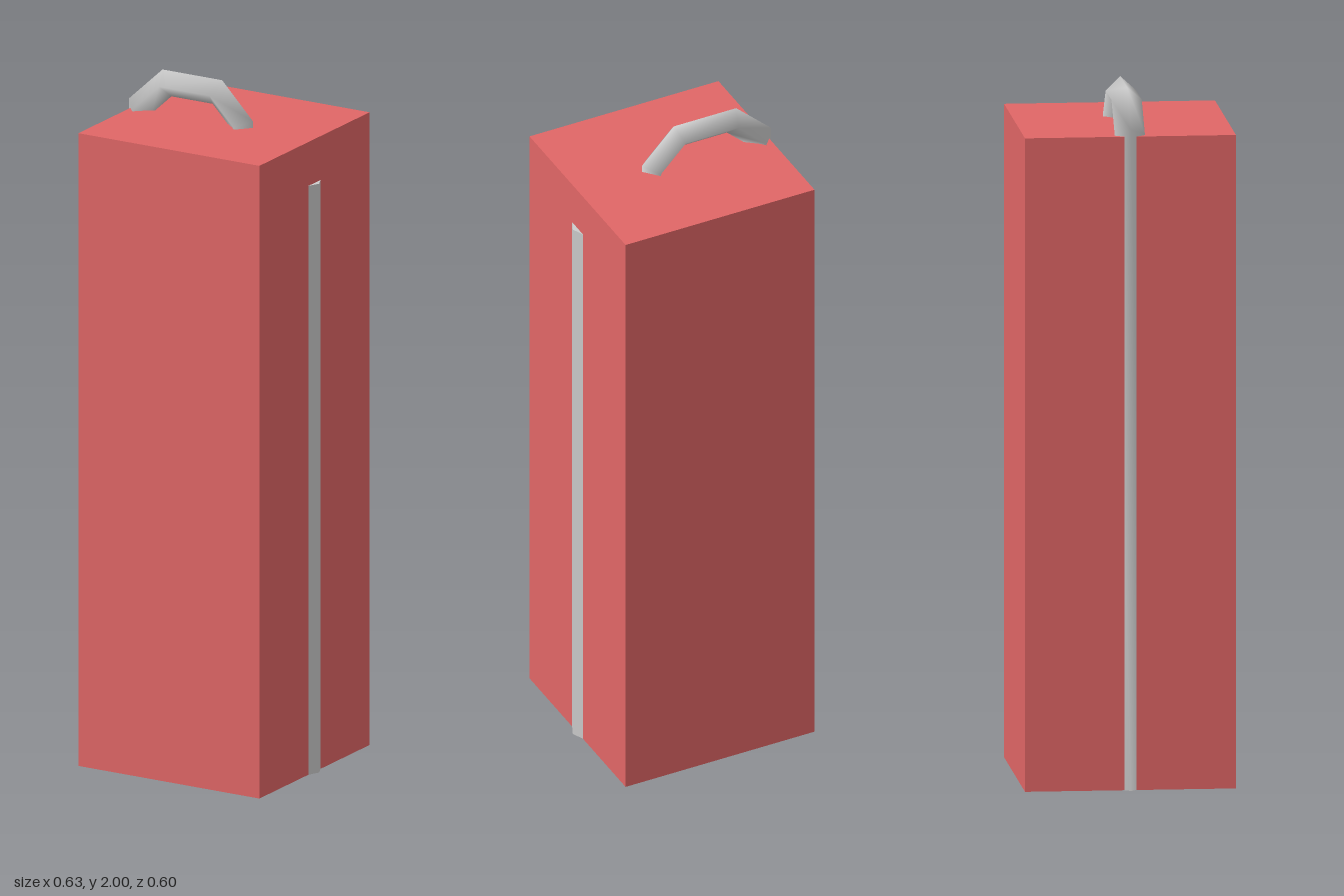
import * as THREE from 'three';

// Sweeps a diamond section along a path in the xy plane, with mitred bends.
function diamondTube(path, half, halfZ) {
  const points = path.map(([x, y]) => new THREE.Vector2(x, y));
  const positions = [];
  const indices = [];
  const normalOf = (a, b) => {
    const d = b.clone().sub(a).normalize();
    return new THREE.Vector2(-d.y, d.x);
  };
  points.forEach((p, i) => {
    const before = normalOf(points[Math.max(i - 1, 0)], points[Math.max(i, 1)]);
    const last = points.length - 1;
    const after = normalOf(points[Math.min(i, last - 1)], points[Math.min(i + 1, last)]);
    const n = before.clone().add(after).normalize();
    n.multiplyScalar(half / n.dot(before));
    positions.push(p.x + n.x, p.y + n.y, 0, p.x, p.y, halfZ);
    positions.push(p.x - n.x, p.y - n.y, 0, p.x, p.y, -halfZ);
    if (i === last) return;
    for (let k = 0; k < 4; k++) {
      const a = i * 4 + k;
      const b = i * 4 + (k + 1) % 4;
      indices.push(a, b, a + 4, b, b + 4, a + 4);
    }
  });
  const geometry = new THREE.BufferGeometry();
  geometry.setAttribute('position', new THREE.Float32BufferAttribute(positions, 3));
  geometry.setIndex(indices);
  geometry.computeVertexNormals();
  return geometry;
}

export function createModel() {
  const group = new THREE.Group();
  const red = new THREE.MeshStandardMaterial({ color: 0xe06666 });
  const grey = new THREE.MeshStandardMaterial({ color: 0xcccccc, side: THREE.DoubleSide });

  const add = (name, geometry, material) => {
    const mesh = new THREE.Mesh(geometry, material);
    mesh.name = name;
    group.add(mesh);
    return mesh;
  };

  // Tall square block
  const height = 1.875;
  add('block', new THREE.BoxGeometry(0.6, height, 0.6), red).position.y = height / 2;

  // Rod that runs up the right side, arches over the top and enters the block
  const rodPath = [
    [-0.2775, 0], [-0.2775, 1.88], [-0.189, 1.9625],
    [-0.022, 1.9625], [0.058, 1.88], [0.058, 1.7],
  ];
  add('handleRod', diamondTube(rodPath, 0.0375, 0.043), grey);

  // Ridge of the rod showing on the left side
  const section = new THREE.Shape([
    new THREE.Vector2(0.298, -0.038),
    new THREE.Vector2(0.315, 0),
    new THREE.Vector2(0.298, 0.038),
  ]);
  const ridge = new THREE.ExtrudeGeometry(section, { depth: 1.745, bevelEnabled: false });
  ridge.rotateX(-Math.PI / 2);
  add('sideRidge', ridge, grey);

  return group;
}
